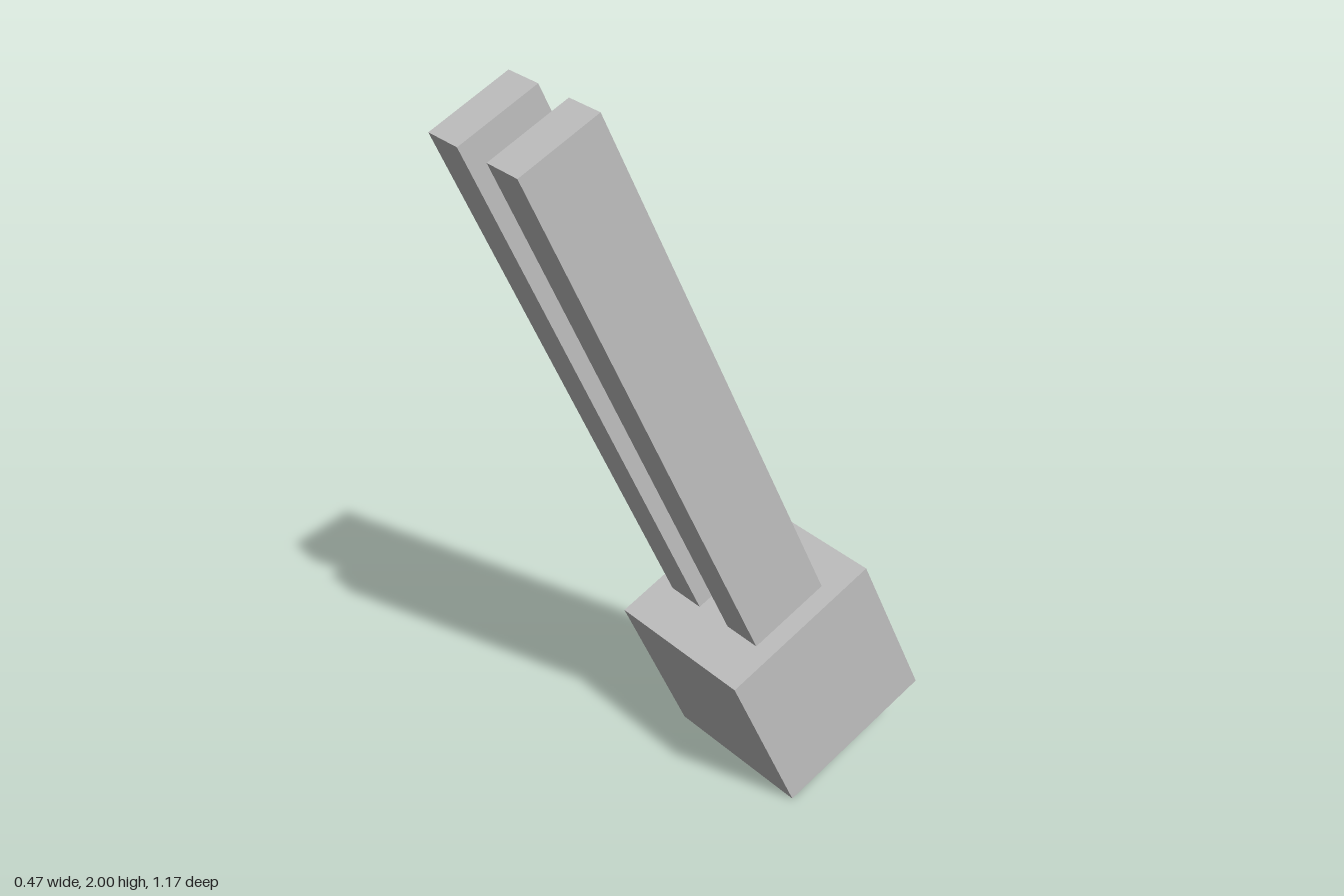
import * as THREE from 'three';

export function createModel() {
  const model = new THREE.Group();
  const grey = new THREE.MeshStandardMaterial({ color: 0xc0c0c0 });
  grey.name = 'light grey';

  const size = 0.472;          // edge of the cube base
  const prongLength = 1.566;

  // Everything leans forward together around the centre of the base
  const leaning = new THREE.Group();
  leaning.name = 'leaningBody';
  leaning.position.set(0, 0.3135, -0.272);
  leaning.rotation.x = THREE.MathUtils.degToRad(25);
  model.add(leaning);

  const base = new THREE.Mesh(new THREE.BoxGeometry(size, size, size), grey);
  base.name = 'base';
  leaning.add(base);

  // Pair of long prongs standing on the base
  for (const side of [1, -1]) {
    const prong = new THREE.Mesh(new THREE.BoxGeometry(size / 4, prongLength, size / 2), grey);
    prong.name = side > 0 ? 'leftProng' : 'rightProng';
    prong.position.set(side * size / 4, size / 2 + prongLength / 2, -0.01);
    leaning.add(prong);
  }
  return model;
}
